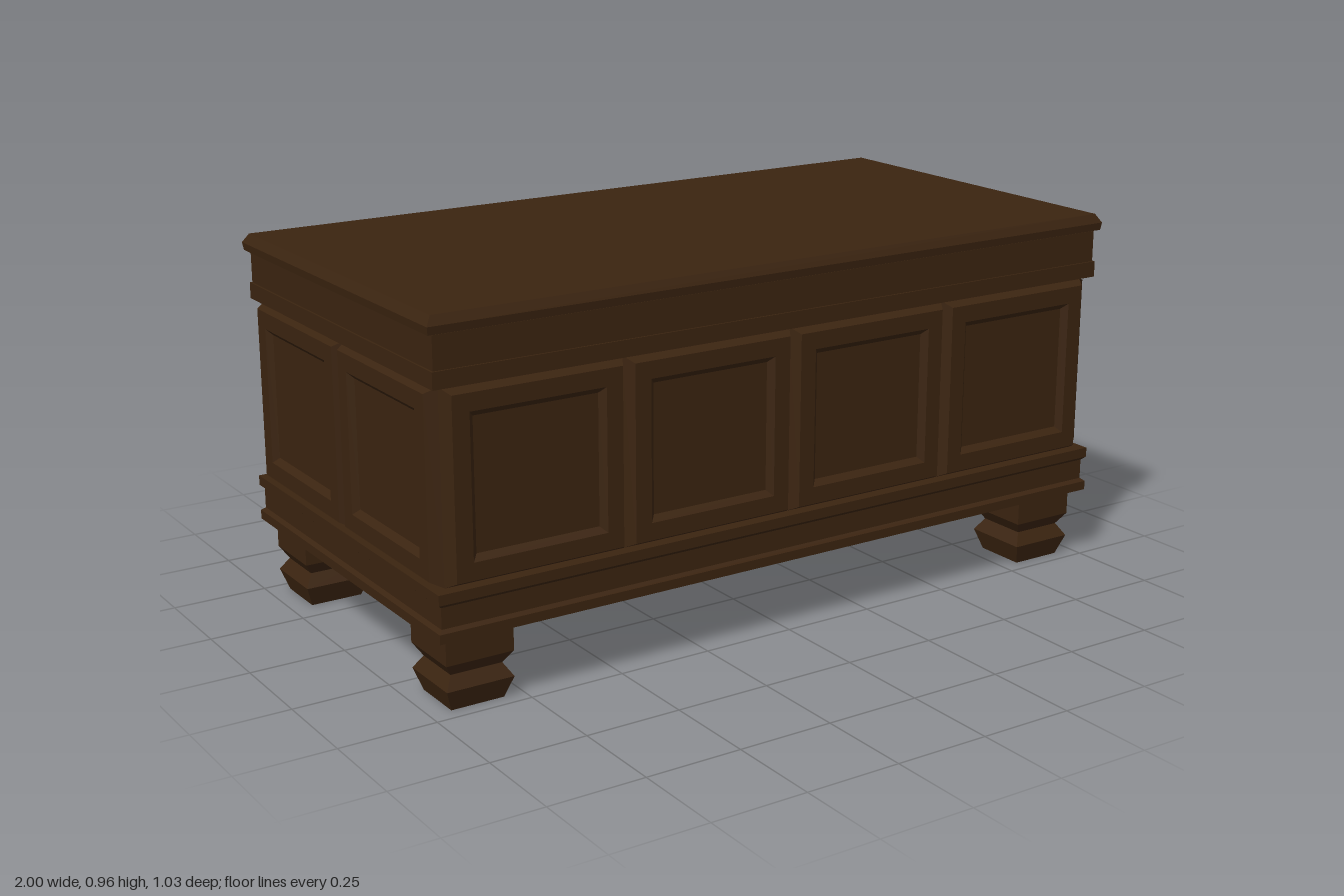
import * as THREE from 'three';

const wood = new THREE.MeshStandardMaterial({ color: 0x3b2410 });
wood.name = 'darkWood';

// Stack of rectangles [y, halfX, halfZ], skinned with flat faces and capped.
function loft(name, rings, bottomCap = true) {
  const corners = rings.map(([y, x, z]) => [[-x, y, z], [x, y, z], [x, y, -z], [-x, y, -z]]);
  const pos = [];
  const quad = (a, b, c, d) => pos.push(...a, ...b, ...c, ...a, ...c, ...d);
  for (let r = 0; r < corners.length - 1; r++) {
    const lo = corners[r], hi = corners[r + 1];
    for (let i = 0; i < 4; i++) {
      const j = (i + 1) % 4;
      quad(lo[i], lo[j], hi[j], hi[i]);
    }
  }
  quad(...corners[corners.length - 1]);
  if (bottomCap) quad(...[...corners[0]].reverse());
  const geometry = new THREE.BufferGeometry();
  geometry.setAttribute('position', new THREE.Float32BufferAttribute(pos, 3));
  geometry.computeVertexNormals();
  const mesh = new THREE.Mesh(geometry, wood);
  mesh.name = name;
  return mesh;
}

// Chest moulding: half depth h, half width h + 0.48.
const moulding = (name, profile) => loft(name, profile.map(([y, h]) => [y, h + 0.48, h]));

// Raised square frame with bevelled edges and a sunken field, facing +z.
function panel() {
  const mesh = loft('panel', [
    [0, 0.24, 0.238], [0.03, 0.223, 0.223], [0.03, 0.179, 0.179], [0.015, 0.164, 0.164],
  ], false);
  mesh.rotation.x = Math.PI / 2;
  return mesh;
}

export function createModel() {
  const chest = new THREE.Group();
  chest.name = 'chest';

  // Lid, just clear of the body
  chest.add(loft('lid', [[0.92, 0.997, 0.512], [0.94, 1, 0.515], [0.963, 0.985, 0.502]]));

  // Apron, core and stepped plinth
  chest.add(moulding('apron', [[0.793, 0.508], [0.835, 0.508], [0.835, 0.503], [0.917, 0.503]]));
  chest.add(moulding('core', [[0.3, 0.479], [0.8, 0.479]]));
  chest.add(moulding('plinth', [
    [0.193, 0.512], [0.217, 0.512], [0.225, 0.502], [0.278, 0.502],
    [0.287, 0.512], [0.313, 0.512],
  ]));

  // Four panels on the long walls, two on the short ones
  const walls = [[4, 0.48], [2, 0.96], [4, 0.48], [2, 0.96]];
  walls.forEach(([count, distance], side) => {
    const wall = new THREE.Group();
    wall.name = ['frontPanels', 'leftPanels', 'backPanels', 'rightPanels'][side];
    for (let i = 0; i < count; i++) {
      const p = panel();
      p.position.set((i - (count - 1) / 2) * 0.48, 0.552, distance);
      wall.add(p);
    }
    wall.rotation.y = side * Math.PI / 2;
    chest.add(wall);
  });

  // Square turned feet
  const footProfile = [[0, 0.07], [0.055, 0.089], [0.088, 0.068], [0.12, 0.089], [0.195, 0.089]];
  for (const sx of [-1, 1]) {
    for (const sz of [-1, 1]) {
      const foot = loft((sz > 0 ? 'front' : 'back') + (sx > 0 ? 'Left' : 'Right') + 'Foot',
        footProfile.map(([y, h]) => [y, h, h]));
      foot.position.set(sx * 0.873, 0, sz * 0.39);
      chest.add(foot);
    }
  }
  return chest;
}
